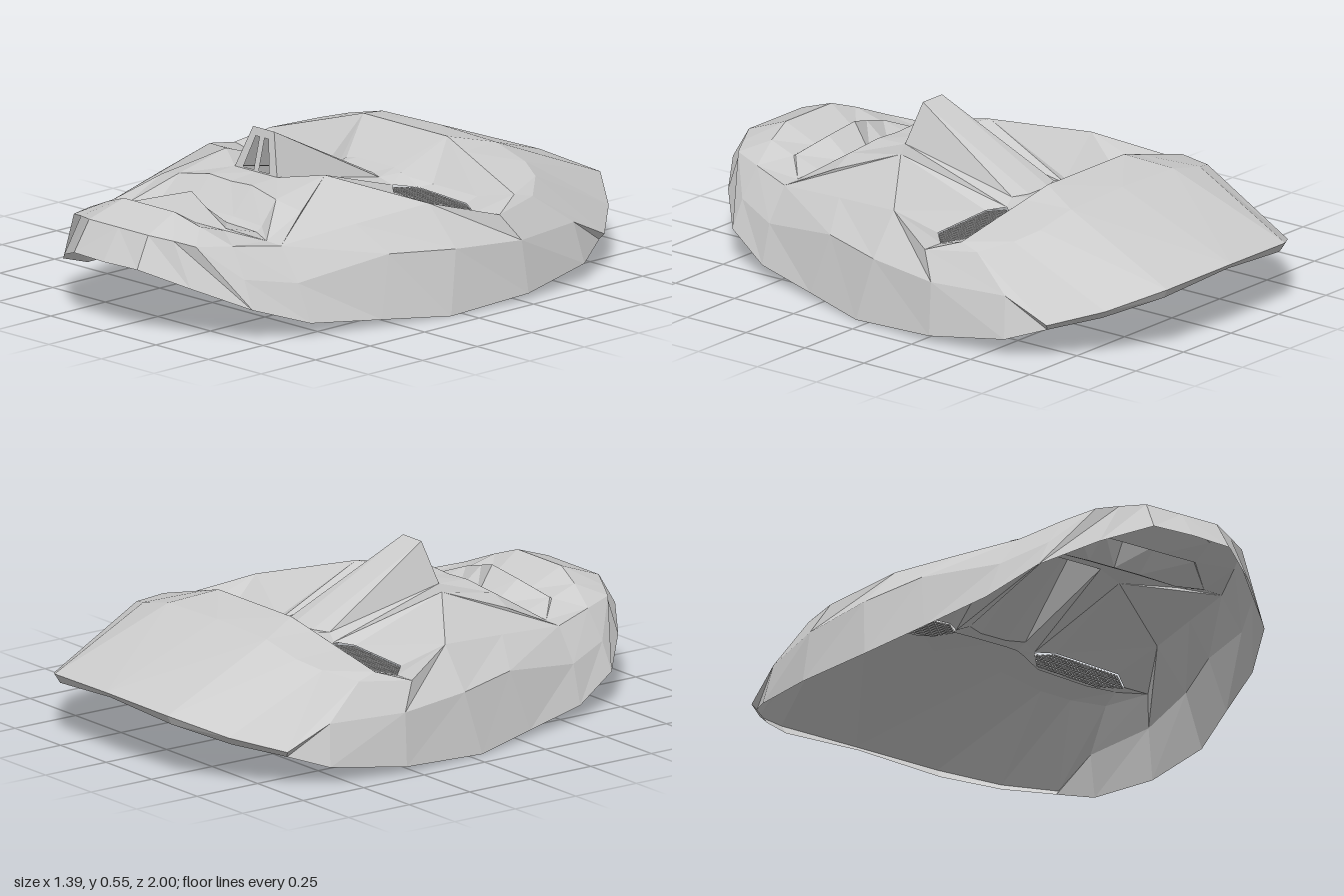
import * as THREE from 'three';
import { mergeGeometries } from 'three/addons/utils/BufferGeometryUtils.js';

const material = new THREE.MeshStandardMaterial({
  color: 0xcccccc, flatShading: true, side: THREE.DoubleSide,
});

// Faceted skin between cross-sections, built on both sides of the face
function mirroredSkin(name, rows) {
  const pos = [];
  for (const s of [1, -1]) {
    const tri = (a, b, c) => {
      if (a === b || b === c || a === c) return;
      for (const p of s > 0 ? [a, b, c] : [a, c, b]) pos.push(s * p[0], p[1], p[2]);
    };
    for (let r = 0; r < rows.length - 1; r++) {
      for (let c = 0; c < rows[r].length - 1; c++) {
        const a = rows[r], b = rows[r + 1];
        tri(a[c], b[c], b[c + 1]);
        tri(a[c], b[c + 1], a[c + 1]);
      }
    }
  }
  const geo = new THREE.BufferGeometry();
  geo.setAttribute('position', new THREE.Float32BufferAttribute(pos, 3));
  geo.computeVertexNormals();
  const mesh = new THREE.Mesh(geo, material);
  mesh.name = name;
  return mesh;
}

// Range covered by a polygon along the other axis, where axis = value
function span(poly, axis, value) {
  const hits = [];
  poly.forEach((p, i) => {
    const q = poly[(i + 1) % poly.length];
    if ((p[axis] - value) * (q[axis] - value) < 0) {
      const t = (value - p[axis]) / (q[axis] - p[axis]);
      hits.push(p[1 - axis] + t * (q[1 - axis] - p[1 - axis]));
    }
  });
  return [Math.min(...hits), Math.max(...hits)];
}

// Fine grating that fills one eye opening
function eyeGrille(side) {
  const outline = [[-.19, .005], [-.14, -.06], [.09, -.06], [.17, -.012], [.1, .055], [-.14, .05]];
  const bars = [], pitch = .0125, w = .004;
  const add = (axis, value) => {
    const [lo, hi] = span(outline, axis, value);
    const mid = (lo + hi) / 2;
    const bar = axis === 0 ? new THREE.BoxGeometry(w, w, hi - lo) : new THREE.BoxGeometry(hi - lo, w, w);
    bars.push(axis === 0 ? bar.translate(side * value, 0, mid) : bar.translate(side * mid, 0, value));
  };
  for (let x = -.1845; x < .168; x += pitch) add(0, x);
  for (let z = -.0545; z < .053; z += pitch) add(1, z);
  const mesh = new THREE.Mesh(mergeGeometries(bars), material);
  mesh.name = side > 0 ? 'leftEyeGrille' : 'rightEyeGrille';
  mesh.position.set(side * .35, .285, -.18);
  mesh.rotation.z = -side * .06;
  return mesh;
}

// Underside of the nose with two nostril openings
function noseUnderside() {
  const poly = (pts, Type) => new Type(pts.map(([x, y]) => new THREE.Vector2(x, y)));
  const shape = poly([[-.1, .41], [.1, .41], [.05, .55], [-.05, .55]], THREE.Shape);
  for (const s of [1, -1]) {
    shape.holes.push(poly([[s * .012, .415], [s * .062, .415], [s * .03, .522], [s * .012, .522]], THREE.Path));
  }
  const geo = new THREE.ShapeGeometry(shape);
  const p = geo.attributes.position;
  for (let i = 0; i < p.count; i++) p.setZ(i, .3 - (p.getY(i) - .41) * .25);
  geo.computeVertexNormals();
  const mesh = new THREE.Mesh(geo, material);
  mesh.name = 'noseUnderside';
  return mesh;
}

export function createModel() {
  const mask = new THREE.Group();
  mask.name = 'faceMask';

  // Landmarks shared by neighbouring parts
  const temple = [.63, .29, -.21], cheekbone = [.52, .35, .01], cheekFront = [.235, .428, .21];
  const browMid = [0, .44, -.385], brow = [.2, .44, -.385], browEnd = [.58, .328, -.325];
  const bridgeMid = [0, .325, -.185], bridge = [.05, .325, -.185], bridgeSide = [.11, .325, -.16];
  const eyeIn = [.155, .305, -.175], eyeOut = [.525, .28, -.193];
  const noseTip = [.05, .55, .265], noseBase = [.1, .41, .3];
  const lipPeak = [.1, .405, .415], lipSide = [.23, .385, .43], lipFold = [.33, .36, .41];
  const mouthCorner = [.33, .29, .57], cheekFold = [.4, .287, .57];
  const chinSide = [.34, .305, .735], chinLow = [.29, .315, .855], jawRim = [.45, .11, .75];

  // Forehead: inner rim, outer rim edge, crown, brow line
  mask.add(mirroredSkin('forehead', [
    [[0, .222, -.985], [.305, .195, -.96], [.465, .14, -.83], [.595, .105, -.7], [.66, .06, -.57], [.695, .02, -.28]],
    [[0, .24, -1], [.31, .228, -.98], [.48, .17, -.855], [.61, .125, -.71], [.63, .2, -.55], [.673, .2, -.27]],
    [[0, .412, -.54], [.27, .405, -.54], [.42, .37, -.53], [.51, .345, -.49], [.59, .31, -.4], temple],
    [browMid, brow, [.3, .41, -.369], [.42, .375, -.35], browEnd, temple],
  ]));

  // Eye sockets: brow line, socket crease, upper eyelid
  mask.add(mirroredSkin('browSocket', [
    [browMid, brow, brow, brow, brow, [.42, .375, -.35], browEnd, temple],
    [[0, .338, -.25], [.09, .338, -.25], [.13, .33, -.24], [.16, .32, -.245], [.24, .305, -.28], [.44, .3, -.29], browEnd, temple],
    [bridgeMid, bridge, bridgeSide, eyeIn, [.21, .295, -.24], [.44, .285, -.24], eyeOut, temple],
  ]));

  // Cheeks: lower eyelid, cheekbone line, smile fold
  mask.add(mirroredSkin('cheek', [
    [bridgeSide, eyeIn, [.21, .298, -.13], [.455, .284, -.125], eyeOut, temple],
    [noseBase, noseBase, cheekFront, cheekbone, cheekbone, cheekbone],
  ]));
  mask.add(mirroredSkin('muzzle', [
    [[0, .41, .3], noseBase, cheekFront, cheekFront, cheekbone],
    [[0, .4, .415], lipPeak, lipSide, lipFold, cheekFold],
  ]));
  mask.add(mirroredSkin('mouthFold', [
    [lipSide, lipFold, cheekFold],
    [mouthCorner, mouthCorner, mouthCorner],
  ]));

  // Nose ridge, flanks and underside
  mask.add(mirroredSkin('noseRidge', [
    [bridgeMid, bridge, bridgeSide],
    [[0, .55, .265], noseTip, noseTip],
  ]));
  mask.add(mirroredSkin('noseFlank', [[bridgeSide, bridgeSide], [noseTip, noseBase]]));
  mask.add(noseUnderside());

  // Lips
  mask.add(mirroredSkin('lips', [
    [[0, .4, .415], lipPeak, lipSide, mouthCorner],
    [[0, .315, .5], [.1, .315, .5], [.24, .31, .505], mouthCorner],
    [[0, .3, .53], [.1, .3, .53], [.24, .295, .53], mouthCorner],
    [[0, .4, .595], [.1, .37, .625], [.23, .33, .66], mouthCorner],
    [[0, .325, .668], [.1, .325, .668], [.23, .325, .668], mouthCorner],
  ]));

  // Chin
  mask.add(mirroredSkin('chin', [
    [[0, .325, .668], [.1, .325, .668], [.23, .325, .668], mouthCorner, cheekFold],
    [[0, .39, .79], [.12, .39, .79], [.22, .355, .77], chinSide, chinSide],
    [[0, .34, .93], [.14, .34, .93], [.22, .328, .89], chinLow, chinLow],
    [[0, .235, 1], [.15, .235, .99], [.3, .18, .89], jawRim, jawRim],
  ]));

  // Jaw sides: rim, middle, cheek edge
  mask.add(mirroredSkin('jaw', [
    [[.695, .02, -.28], [.67, 0, .05], [.6, .022, .3], [.53, .045, .56], jawRim, jawRim],
    [[.673, .2, -.27], [.64, .215, 0], [.57, .23, .24], [.48, .175, .57], [.405, .205, .745], [.37, .2125, .8025]],
    [temple, cheekbone, [.46, .32, .29], cheekFold, chinSide, chinLow],
  ]));

  for (const s of [1, -1]) mask.add(eyeGrille(s));
  return mask;
}
